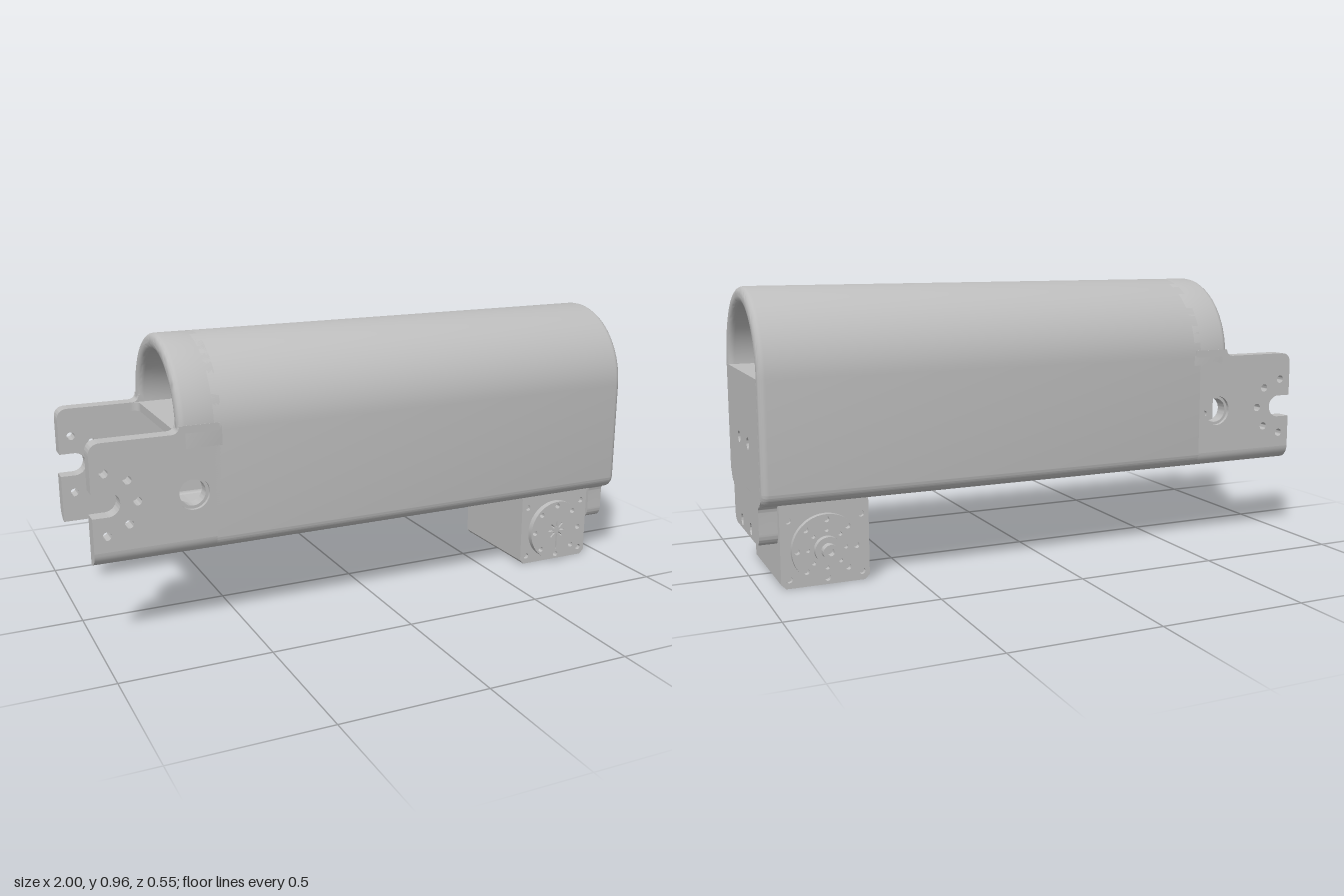
import * as THREE from 'three';
import { toCreasedNormals } from 'three/addons/utils/BufferGeometryUtils.js';

const metal = new THREE.MeshStandardMaterial({ color: 0xbdbdbd });
metal.name = 'plain grey';

const AXIS_Y = 0.69, R_OUT = 0.275, R_IN = 0.22, BASE = 0.285;
const FRONT_X = -0.715;

export function createModel() {
  const group = new THREE.Group();

  const add = (name, geometry) => {
    const mesh = new THREE.Mesh(geometry, metal);
    mesh.name = name;
    group.add(mesh);
    return mesh;
  };

  // Extrude a shape from d0 to d1 with an optional rounded rim inside its outline
  const extrude = (shape, d0, d1, bevel = 0) => {
    const g = new THREE.ExtrudeGeometry(shape, {
      depth: d1 - d0 - 2 * bevel, curveSegments: 24, bevelEnabled: bevel > 0,
      bevelThickness: bevel, bevelSize: bevel, bevelOffset: -bevel, bevelSegments: 4,
    });
    g.translate(0, 0, d0 + bevel);
    return g;
  };
  const extrudeZ = (...a) => toCreasedNormals(extrude(...a), 0.6);
  const extrudeX = (...a) => toCreasedNormals(extrude(...a).rotateY(Math.PI / 2), 0.6);
  const extrudeY = (shape, y0, y1) =>
    extrude(shape, 0, y1 - y0).rotateX(Math.PI / 2).translate(0, y1, 0);

  const circle = (x, y, r) => new THREE.Path().absarc(x, y, r, 0, Math.PI * 2, false);
  const disc = (x, y, r, hole) => {
    const s = new THREE.Shape().absarc(x, y, r, 0, Math.PI * 2, false);
    if (hole) s.holes.push(circle(x, y, hole));
    return s;
  };

  // Arched cross-section with rounded lower corners
  const arched = (path, r, base, c) => {
    path.moveTo(-r + c, base);
    path.lineTo(r - c, base);
    path.absarc(r - c, base + c, c, -Math.PI / 2, 0, false);
    path.lineTo(r, AXIS_Y);
    path.absarc(0, AXIS_Y, r, 0, Math.PI, false);
    path.lineTo(-r, base + c);
    path.absarc(-r + c, base + c, c, Math.PI, Math.PI * 1.5, false);
    return path;
  };

  // Main housing tube
  const shell = arched(new THREE.Shape(), R_OUT, BASE, 0.05);
  shell.holes.push(arched(new THREE.Path(), R_IN, 0.33, 0.01));
  add('housing', extrudeX(shell, -0.62, 1, 0.022));

  // Hood overhanging the fork end
  const hood = new THREE.Shape();
  hood.moveTo(R_OUT, 0.64);
  hood.lineTo(R_OUT, AXIS_Y);
  hood.absarc(0, AXIS_Y, R_OUT, 0, Math.PI, false);
  hood.lineTo(-R_OUT, 0.64);
  hood.lineTo(-R_IN, 0.64);
  hood.lineTo(-R_IN, AXIS_Y);
  hood.absarc(0, AXIS_Y, R_IN, Math.PI, 0, true);
  hood.lineTo(R_IN, 0.64);
  add('hood', extrudeX(hood, FRONT_X, -0.55, 0.022));

  // Inner deck and floor, filleted into the fork
  const panel = (endX) => {
    const s = new THREE.Shape();
    s.moveTo(endX, -0.23);
    s.lineTo(endX, 0.23);
    s.lineTo(FRONT_X - 0.03, 0.23);
    s.lineTo(FRONT_X - 0.03, R_IN);
    s.quadraticCurveTo(FRONT_X, R_IN, FRONT_X, R_IN - 0.03);
    s.lineTo(FRONT_X, -R_IN + 0.03);
    s.quadraticCurveTo(FRONT_X, -R_IN, FRONT_X - 0.03, -R_IN);
    s.lineTo(FRONT_X - 0.03, -0.23);
    return s;
  };
  add('deck', extrudeY(panel(0.97), 0.66, AXIS_Y));
  add('floor', extrudeY(panel(-0.57), BASE, 0.33));

  // Fork plates with a slot, screw holes and a large cable hole
  const fork = new THREE.Shape();
  fork.moveTo(-0.58, 0.335);
  fork.lineTo(-0.58, 0.715);
  fork.lineTo(-0.712, 0.715);
  fork.quadraticCurveTo(-0.715, AXIS_Y, -0.74, AXIS_Y);
  fork.lineTo(-0.96, AXIS_Y);
  fork.quadraticCurveTo(-1, AXIS_Y, -1, 0.65);
  fork.lineTo(-1, 0.53);
  fork.lineTo(-0.95, 0.53);
  fork.absarc(-0.95, 0.49, 0.04, Math.PI / 2, -Math.PI / 2, true);
  fork.lineTo(-1, 0.45);
  fork.lineTo(-1, 0.335);
  for (let i = -2; i <= 2; i++) {
    const a = i * Math.PI / 4;
    fork.holes.push(circle(-0.957 + 0.102 * Math.cos(a), 0.49 + 0.102 * Math.sin(a), 0.014));
  }
  fork.holes.push(circle(-0.673, 0.49, 0.054));

  for (const side of [1, -1]) {
    const label = side > 0 ? 'left' : 'right';
    const span = (inner, outer) => (side > 0 ? [inner, outer] : [-outer, -inner]);
    add(label + 'Fork', extrudeZ(fork, ...span(R_IN, R_OUT)));
    add(label + 'CableHoleRim', extrudeZ(disc(-0.673, 0.49, 0.056, 0.044), ...span(R_IN, 0.262)));

    // Rounded lower edge of the fork
    const edge = new THREE.Shape();
    for (let i = 0; i <= 8; i++) {
      const a = -Math.PI / 2 + i * Math.PI / 16;
      const p = [-side * (0.225 + 0.05 * Math.cos(a)), 0.335 + 0.05 * Math.sin(a)];
      if (i) edge.lineTo(...p); else edge.moveTo(...p);
    }
    edge.lineTo(-side * R_IN, 0.335);
    edge.lineTo(-side * R_IN, BASE);
    add(label + 'ForkLowerEdge', extrudeX(edge, -1, -0.58));
  }

  // End plate with hanging tab
  const plate = new THREE.Shape();
  plate.moveTo(-0.24, AXIS_Y);
  plate.lineTo(-0.24, 0.305);
  plate.lineTo(-0.225, BASE);
  plate.quadraticCurveTo(-0.2, BASE, -0.2, 0.255);
  plate.lineTo(-0.2, 0.19);
  plate.quadraticCurveTo(-0.2, 0.147, -0.16, 0.147);
  plate.lineTo(0.16, 0.147);
  plate.quadraticCurveTo(0.2, 0.147, 0.2, 0.19);
  plate.lineTo(0.2, 0.255);
  plate.quadraticCurveTo(0.2, BASE, 0.225, BASE);
  plate.lineTo(0.24, 0.305);
  plate.lineTo(0.24, AXIS_Y);
  for (const z of [-0.072, 0.072]) for (const y of [0.463, 0.178]) {
    plate.holes.push(circle(z, y, 0.02));
    add('plateScrew', extrudeX(disc(z, y, 0.0205, 0.01), 0.945, 0.985));
    add('screwSocket', extrudeX(disc(z, y, 0.012), 0.945, 0.965));
  }
  add('endPlate', extrudeX(plate, 0.94, 1));

  // Servo motor body
  const CX = 0.787, CY = 0.125;
  const block = () => {
    const s = new THREE.Shape();
    const x0 = 0.64, x1 = 0.935, c = 0.016;
    s.moveTo(x0 + c, 0);
    s.lineTo(x1 - c, 0);
    s.lineTo(x1, c);
    s.lineTo(x1, 0.3);
    s.lineTo(x0, 0.3);
    s.lineTo(x0, c);
    return s;
  };
  add('motorBody', extrudeZ(block(), -0.185, 0.178));
  const face = block();
  for (const x of [-0.121, 0.121]) for (const y of [0.03, 0.225])
    face.holes.push(circle(CX + x, y, 0.011));
  add('motorFrontFace', extrudeZ(face, 0.178, 0.193));
  add('motorBackFace', extrudeZ(face, -0.2, -0.185));

  // Round flanges with a ring of screw holes and a slotted centre
  const flange = (slots) => {
    const s = disc(CX, CY, 0.115);
    for (let i = 0; i < 8; i++) {
      const a = i * Math.PI / 4, c = Math.cos(a), n = Math.sin(a);
      s.holes.push(circle(CX + 0.098 * c, CY + 0.098 * n, 0.01));
      if (!slots) {
        s.holes.push(circle(CX + 0.063 * c, CY + 0.063 * n, 0.007));
        continue;
      }
      const end = i === 6 ? 0.075 : 0.036;
      s.holes.push(new THREE.Path([[0.014, -0.003], [end, -0.003], [end, 0.003], [0.014, 0.003]]
        .map(([u, v]) => new THREE.Vector2(CX + u * c - v * n, CY + u * n + v * c))));
    }
    return s;
  };
  add('frontFlange', extrudeZ(flange(true), 0.193, 0.215));
  add('backFlange', extrudeZ(flange(false), -0.22, -0.2));

  // Output hub and hollow shaft at the back
  add('hub', extrudeZ(disc(CX, CY, 0.044), -0.242, -0.22));
  add('shaft', extrudeZ(disc(CX, CY, 0.025, 0.012), -0.27, -0.242));

  return group;
}
